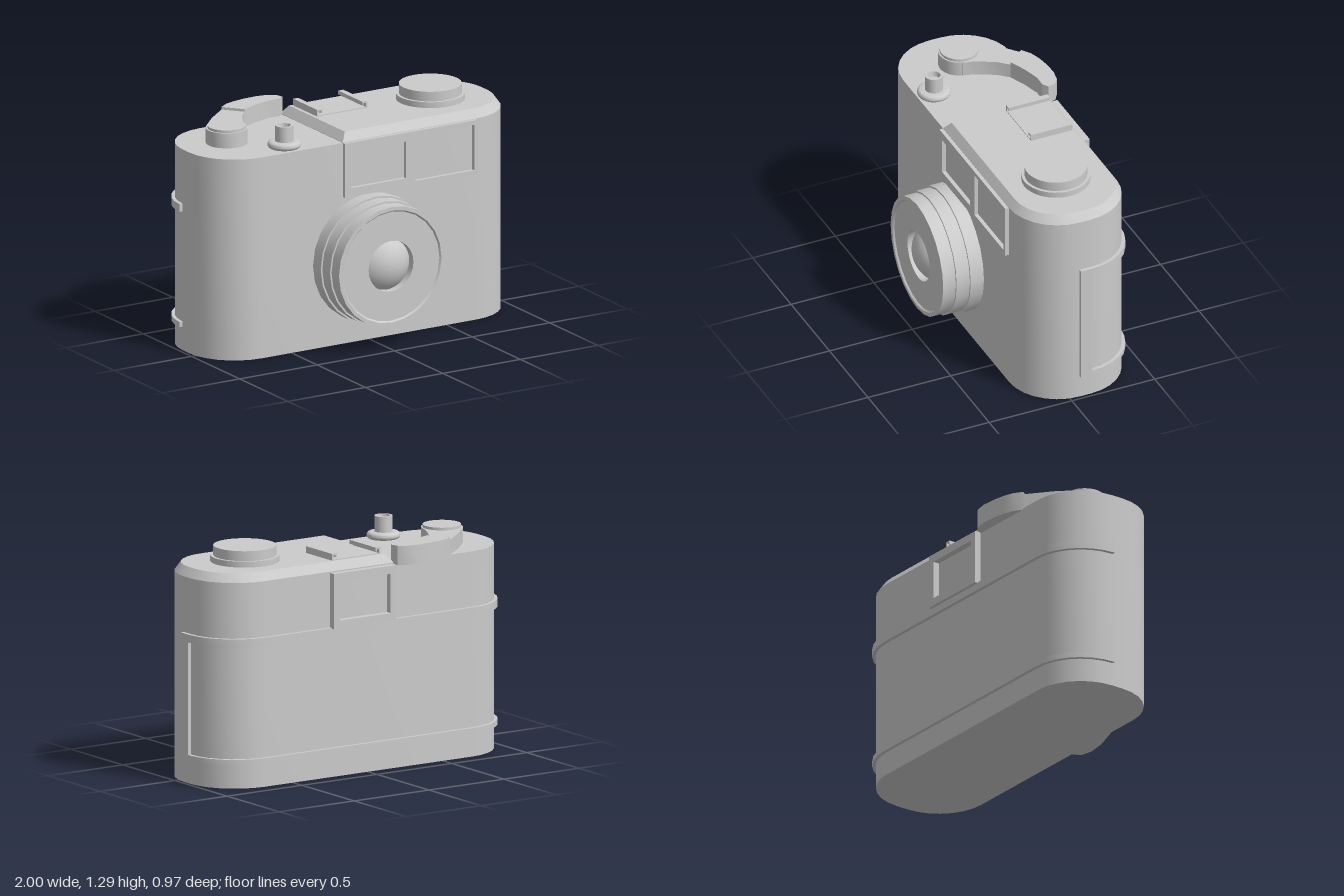
import * as THREE from 'three';
import { toCreasedNormals } from 'three/addons/utils/BufferGeometryUtils.js';

const mat = new THREE.MeshStandardMaterial({ color: 0xcccccc });

// Plan of the body: straight front and back, rounded ends
const HALF_W = 0.98, HALF_D = 0.325, MID_Z = -0.09, R = 0.29;
const V = (x, y) => new THREE.Vector2(x, y);

// Arc of one corner as [x, z] points; d offsets the outline outwards
function corner(sx, sz, d = 0, n = 7) {
  const pts = [];
  for (let i = 0; i <= n; i++) {
    const a = (i / n) * Math.PI / 2;
    pts.push([
      sx * (HALF_W - R + (R + d) * Math.cos(a)),
      MID_Z + sz * (HALF_D - R + (R + d) * Math.sin(a)),
    ]);
  }
  return pts;
}

const planShape = (pts) => new THREE.Shape(pts.map(([x, z]) => V(x, -z)));

// Upright extrusion of an [x, z] outline
function slab(pts, y0, y1, bevel) {
  const g = new THREE.ExtrudeGeometry(planShape(pts), { depth: y1 - y0, bevelEnabled: false, ...bevel });
  g.rotateX(-Math.PI / 2).translate(0, y0, 0);
  return toCreasedNormals(g, 0.5);
}

function turned(profile, segments = 32) {
  const g = new THREE.LatheGeometry(profile.map(([r, y]) => V(r, y)), segments);
  return toCreasedNormals(g, 0.5);
}

function rect(path, x0, y0, x1, y1) {
  path.moveTo(x0, y0);
  path.lineTo(x1, y0);
  path.lineTo(x1, y1);
  path.lineTo(x0, y1);
  path.closePath();
  return path;
}

// Flat panel with window openings, extruded along z
function panel(outer, holes, z0, z1) {
  const s = rect(new THREE.Shape(), ...outer);
  s.holes = holes.map((h) => rect(new THREE.Path(), ...h));
  return new THREE.ExtrudeGeometry(s, { depth: z1 - z0, bevelEnabled: false }).translate(0, 0, z0);
}

const box = (x0, x1, y0, y1, z0, z1) =>
  new THREE.BoxGeometry(x1 - x0, y1 - y0, z1 - z0).translate((x0 + x1) / 2, (y0 + y1) / 2, (z0 + z1) / 2);

export function createModel() {
  const model = new THREE.Group();
  const add = (name, geometry, x = 0, y = 0, z = 0, parent = model) => {
    const m = new THREE.Mesh(geometry, mat);
    m.name = name;
    m.position.set(x, y, z);
    parent.add(m);
    return m;
  };
  const group = (name) => {
    const g = new THREE.Group();
    g.name = name;
    model.add(g);
    return g;
  };

  // Main body
  add('body', slab([
    ...corner(1, 1), ...corner(-1, 1).reverse(),
    ...corner(-1, -1), ...corner(1, -1).reverse(),
  ], 0, 1.15));

  // Raised top cover with a chamfered edge; its lower half sits inside the body
  add('topCover', slab([
    ...corner(1, 1), [-0.17, MID_Z + HALF_D],
    [-0.17, MID_Z - HALF_D], ...corner(1, -1).reverse(),
  ], 1.15, 1.152, {
    bevelEnabled: true, bevelSegments: 1, bevelThickness: 0.048, bevelSize: 0.035, bevelOffset: -0.035,
  }));

  // Back door rim: two bands round the back, joined on the left end
  const door = group('backDoorRim');
  const run = (d) => [...corner(1, -1, d), ...corner(-1, -1, d).reverse()];
  const strip = [...run(0.02), ...run(-0.01).reverse()];
  add('upperBand', slab(strip, 0.795, 0.84), 0, 0, 0, door);
  add('lowerBand', slab(strip, 0.135, 0.165), 0, 0, 0, door);
  add('hingeBar', box(0.97, 1, 0.135, 0.84, -0.125, -0.055), 0, 0, 0, door);

  // Window panels
  add('frontWindowPanel', panel([-0.17, 0.84, 0.685, 1.15],
    [[-0.135, 0.89, 0.225, 1.1], [0.285, 0.865, 0.665, 1.125]], 0.22, 0.257));
  add('rearViewfinderPanel', panel([-0.165, 0.835, 0.255, 1.145],
    [[-0.125, 0.88, 0.215, 1.1]], -0.453, -0.4));

  // Lens barrel in three steps, with a domed glass sunk in the face
  const barrel = turned([
    [0.362, 0.2], [0.362, 0.315], [0.352, 0.315], [0.352, 0.395], [0.342, 0.395],
    [0.342, 0.472], [0.32, 0.472], [0.312, 0.462], [0.145, 0.462], [0.145, 0.415],
  ], 24).rotateX(Math.PI / 2);
  const lens = group('lens');
  add('lensBarrel', barrel, 0, 0.475, 0, lens);
  const dome = [];
  for (let i = 0; i <= 8; i++) {
    const a = 0.88 * (1 - i / 8);
    dome.push([0.19 * Math.sin(a), 0.295 + 0.19 * Math.cos(a)]);
  }
  add('lensGlass', turned(dome).rotateX(Math.PI / 2), 0, 0.475, 0, lens);

  // Shutter button: rounded collar and hollow stem
  const button = group('shutterButton');
  const collar = [[0.075, 0]];
  for (let i = 0; i <= 8; i++) {
    const a = -Math.PI / 2 + (i / 8) * Math.PI;
    collar.push([0.073 + 0.02 * Math.cos(a), 0.022 + 0.02 * Math.sin(a)]);
  }
  collar.push([0.04, 0.042]);
  add('collar', turned(collar), -0.49, 1.15, 0.142, button);
  add('stem', turned([
    [0.05, 0], [0.05, 0.13], [0.036, 0.13], [0.032, 0.1], [0, 0.1],
  ]), -0.49, 1.15, 0.142, button);

  // Film advance lever: hub, curved arm and thicker thumb tip
  const lever = group('advanceLever');
  add('hub', turned([
    [0.115, 0], [0.115, 0.085], [0.106, 0.085], [0.106, 0.1], [0, 0.1],
  ]), -0.705, 1.15, -0.11, lever);
  add('arm', slab([
    [-0.79, -0.19], [-0.68, -0.305], [-0.55, -0.413], [-0.466, -0.31],
    [-0.52, -0.25], [-0.555, -0.185], [-0.58, -0.13], [-0.592, -0.08], [-0.7, -0.07],
  ], 1.15, 1.235), 0, 0, 0, lever);
  add('thumbTip', slab([
    [-0.55, -0.413], [-0.5, -0.448], [-0.44, -0.468], [-0.37, -0.48], [-0.285, -0.485],
    [-0.215, -0.473], [-0.175, -0.445], [-0.165, -0.4], [-0.195, -0.378], [-0.27, -0.378],
    [-0.37, -0.35], [-0.466, -0.31],
  ], 1.142, 1.25), 0, 0, 0, lever);

  // Accessory shoe: base plate and two rails with inward lips
  const shoe = group('accessoryShoe');
  add('shoePlate', box(-0.11, 0.205, 1.19, 1.205, -0.37, -0.12), 0, 0, 0, shoe);
  for (const side of [-1, 1]) {
    const wall = 0.0475 + side * 0.157, lip = 0.0475 + side * 0.145;
    add('shoeRail', box(wall - 0.005, wall + 0.005, 1.195, 1.238, -0.37, -0.12), 0, 0, 0, shoe);
    add('shoeLip', box(lip - 0.016, lip + 0.016, 1.228, 1.238, -0.37, -0.12), 0, 0, 0, shoe);
    const tip = 0.0475 + side * 0.133;
    add('shoeLipEdge', box(tip - 0.004, tip + 0.004, 1.216, 1.238, -0.37, -0.12), 0, 0, 0, shoe);
  }

  // Rewind dial
  add('rewindDial', turned([
    [0.19, 0], [0.19, 0.035], [0.173, 0.035], [0.173, 0.09], [0, 0.09],
  ], 40), 0.597, 1.198, -0.09);

  return model;
}
